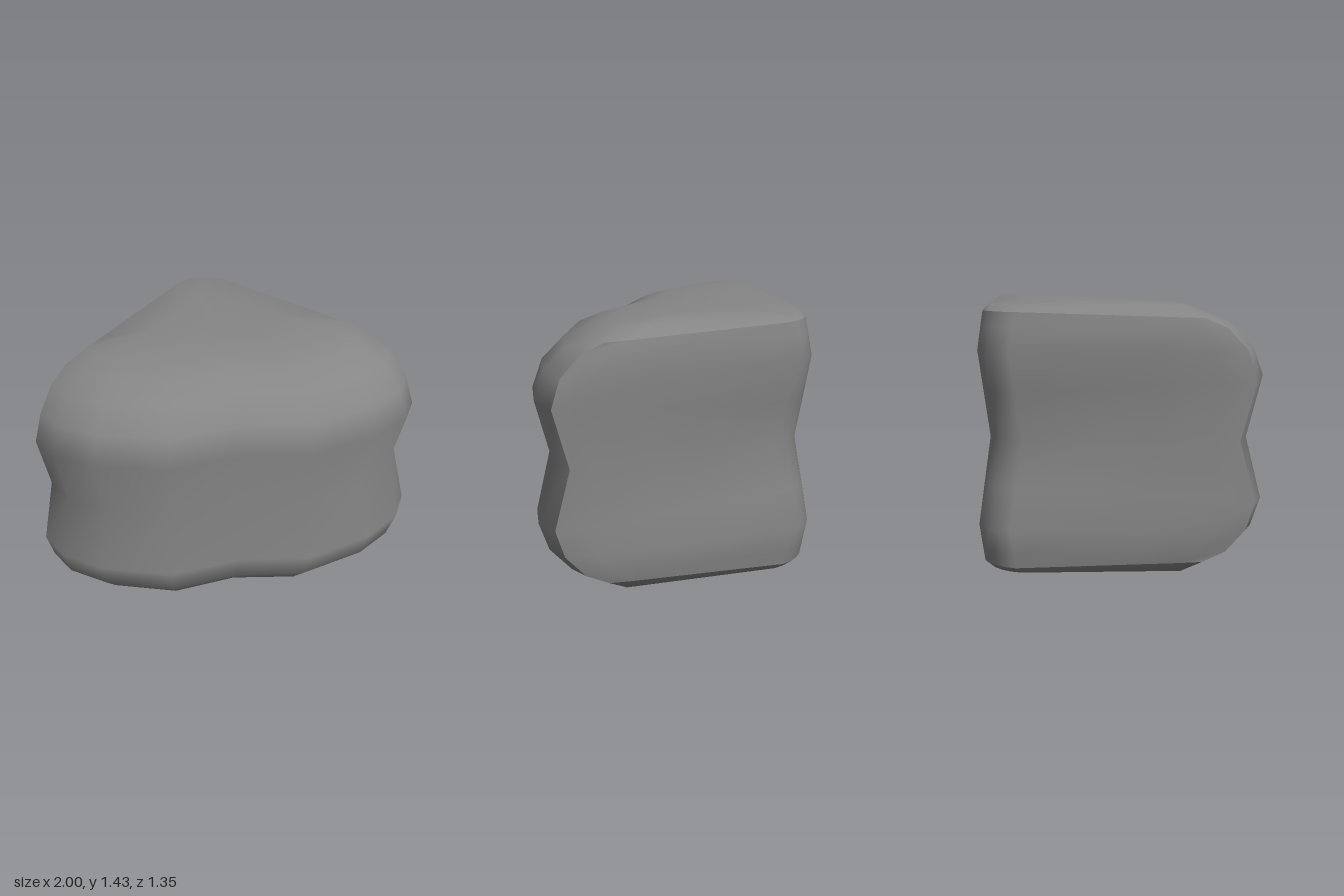
import * as THREE from 'three';

const { lerp } = THREE.MathUtils;
const MID = 0.716; // height of the waist, the body mirrors above and below it

// Upper half sections, waist to top:
// [front y, corner y, back y, back z, corner x, corner z, front z, flank bulge]
const sections = [
  [0.716, 0.716, 0.716, -0.59, 0.94, 0.22, 0.605, 0.01],
  [1.06, 1.035, 0.96, -0.636, 1.0, 0.28, 0.673, 0.015],
  [1.21, 1.185, 1.18, -0.677, 0.962, 0.25, 0.622, 0.03],
  [1.33, 1.3, 1.31, -0.652, 0.892, 0.17, 0.512, 0.018],
  [1.386, 1.354, 1.385, -0.637, 0.81, 0.08, 0.385, 0.004],
  [1.42, 1.415, 1.417, -0.595, 0.7, 0.04, 0.27, 0],
];

// Closed wedge-shaped loop: rounded back tip, straight flanks, two-lobed front
function ring([yf, yc, yb, a, cx, cz, f, bulge]) {
  const d = f - cz;
  const half = [
    [0.06, yb, a + 0.007],
    [0.12, yb, a + 0.032],
  ];
  for (const t of [0.3, 0.6, 0.87]) { // flank
    half.push([
      lerp(0.12, cx, t) + bulge * t,
      lerp(yb, yc, t),
      lerp(a + 0.032, cz, t) - bulge * t,
    ]);
  }
  half.push(
    [cx, yc, cz],
    [0.92 * cx, lerp(yc, yf, 0.4), cz + 0.385 * d],
    [0.73 * cx, lerp(yc, yf, 0.75), cz + 0.72 * d],
    [0.37 * cx, yf, f],
  );
  const mirrored = half.map(([x, y, z]) => [-x, y, z]).reverse();
  return [[0, yb, a], ...half, [0, yf, f - 0.05], ...mirrored];
}

function createSurfaces() {
  const upper = sections.map(ring);
  // Inner loop of the nearly flat end, with a shallow crease down the middle
  const rim = upper[upper.length - 1];
  upper.push(rim.map(([x, , z]) => [
    x * 0.5,
    1.42 + 0.012 * Math.min(1, Math.abs(x) / 0.2),
    -0.15 + (z + 0.15) * 0.5,
  ]));
  const lower = upper.slice(1).reverse()
    .map((r) => r.map(([x, y, z]) => [x, 2 * MID - y, z]));
  const loops = [...lower, ...upper];
  const n = rim.length;
  const positions = loops.flat(2);
  positions.push(0, 2 * MID - 1.42, -0.15, 0, 1.42, -0.15);
  const bottom = loops.length * n;
  const last = (loops.length - 1) * n;

  // The back wall and the front, top and bottom meet in a hard edge
  const back = [], front = [];
  const corner = 6; // steps from the back tip to a side corner
  for (let j = 0; j < loops.length - 1; j++) {
    const isWall = j >= 2 && j < loops.length - 3;
    for (let i = 0; i < n; i++) {
      const k = (i + 1) % n;
      const a = j * n + i, b = j * n + k;
      const isBack = isWall && (i < corner || i >= n - corner);
      (isBack ? back : front).push(a, a + n, b, b, a + n, b + n);
    }
  }
  for (let i = 0; i < n; i++) { // end caps
    const k = (i + 1) % n;
    front.push(bottom, i, k, bottom + 1, last + k, last + i);
  }
  return { backWall: back, frontAndEnds: front, positions };
}

export function createModel() {
  const group = new THREE.Group();
  group.name = 'roundedWedge';
  const { positions, ...parts } = createSurfaces();
  const material = new THREE.MeshStandardMaterial({ color: 0x868686 });
  for (const [name, index] of Object.entries(parts)) {
    const geometry = new THREE.BufferGeometry();
    geometry.setAttribute('position', new THREE.Float32BufferAttribute(positions, 3));
    geometry.setIndex(index);
    geometry.computeVertexNormals();
    const mesh = new THREE.Mesh(geometry, material);
    mesh.name = name;
    group.add(mesh);
  }
  return group;
}
